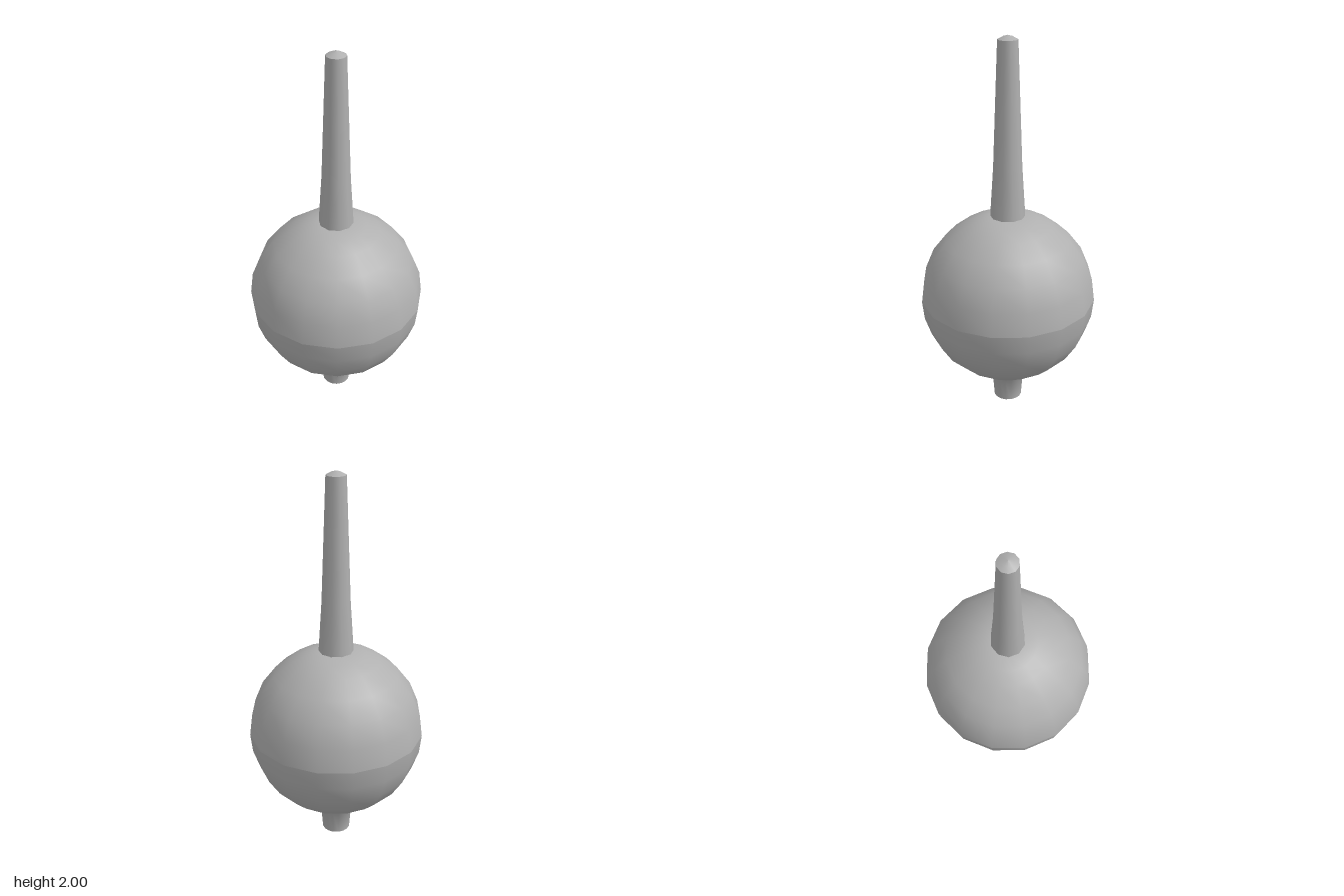
import * as THREE from 'three';

const grey = new THREE.MeshStandardMaterial({ color: 0xb0b0b0 });
grey.name = 'plain grey';

// Turned part from a profile of [radius, height] pairs, listed bottom to top
function turned(name, profile, sides) {
  const points = profile.map(([r, y]) => new THREE.Vector2(r, y));
  const mesh = new THREE.Mesh(new THREE.LatheGeometry(points, sides), grey);
  mesh.name = name;
  return mesh;
}

export function createModel() {
  const model = new THREE.Group();
  model.name = 'bulb';

  const R = 0.46, centreY = 0.635, sides = 16;

  // Upper half of the bulb, up to the seat of the stem
  const dome = [0, 15, 30, 45, 60, 70, 79].map((deg) => {
    const a = THREE.MathUtils.degToRad(deg);
    return [R * Math.cos(a), centreY + R * Math.sin(a)];
  });
  dome.push([0, 1.086]);
  model.add(turned('upperBulb', dome, sides));

  // Lower half, drawn in to a short neck
  model.add(turned('lowerBulb', [
    [0.075, 0], [0.085, 0.13], [0.175, 0.2], [0.278, 0.268],
    [0.355, 0.34], [0.415, 0.435], [0.449, 0.535], [R, centreY],
  ], sides));

  // Flat end of the neck
  const base = new THREE.Mesh(new THREE.CircleGeometry(0.075, sides), grey);
  base.name = 'neckEnd';
  base.rotation.x = Math.PI / 2;
  model.add(base);

  // Long tapering stem and its shallow pointed tip
  model.add(turned('stem', [
    [0.09, 1.07], [0.089, 1.1], [0.073, 1.35], [0.062, 1.65], [0.05, 1.98],
  ], 10));
  model.add(turned('stemTip', [[0.05, 1.98], [0.025, 1.993], [0, 2]], 10));

  return model;
}
